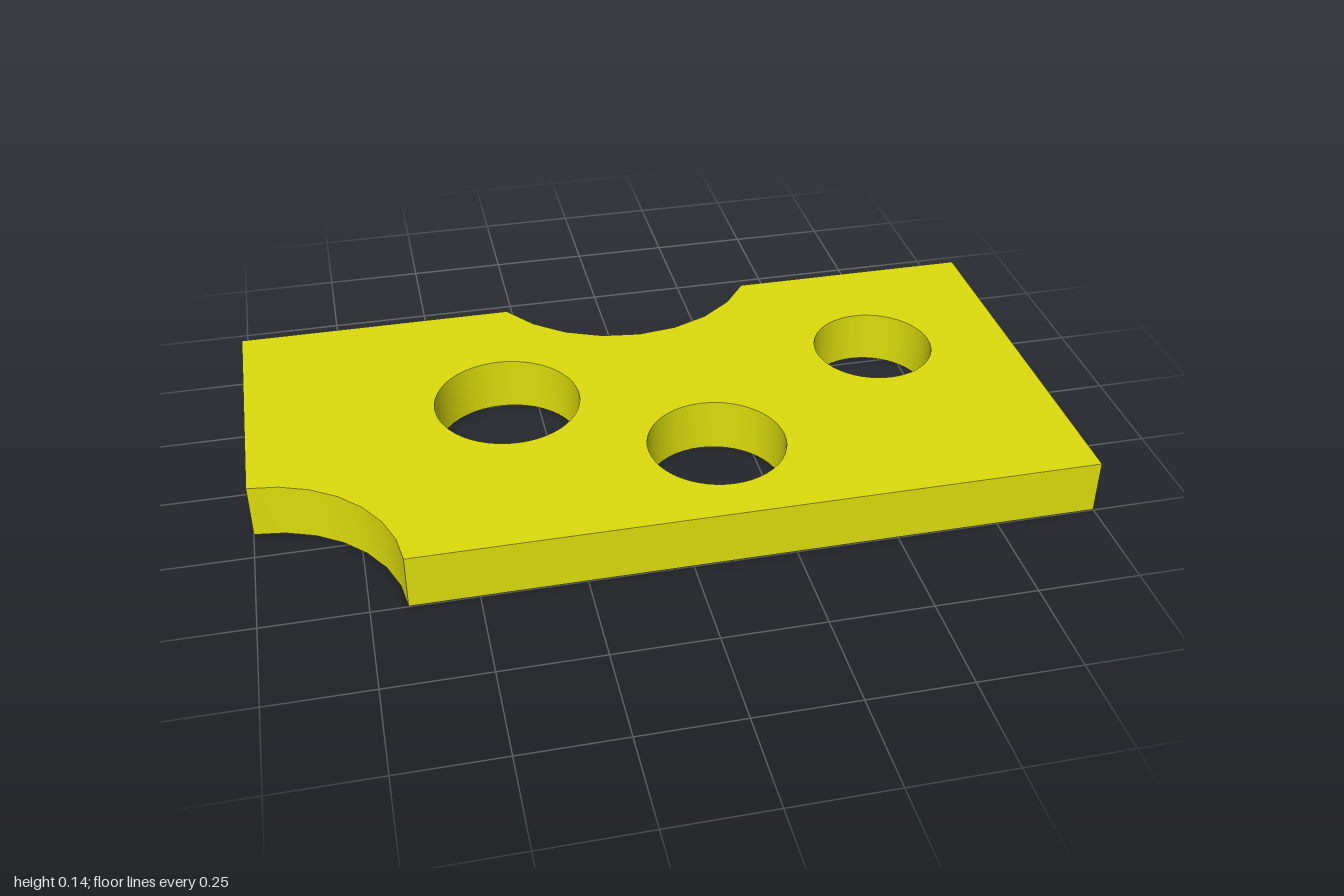
import * as THREE from 'three';
import { toCreasedNormals } from 'three/addons/utils/BufferGeometryUtils.js';

const HALF_X = 1, HALF_Z = 0.498, THICKNESS = 0.138;

// Points along an arc in the plan (x, z)
function arc(cx, cz, r, from, to, segments) {
  return Array.from({ length: segments + 1 }, (_, i) => {
    const a = from + (to - from) * i / segments;
    return new THREE.Vector2(cx + r * Math.cos(a), cz + r * Math.sin(a));
  });
}

export function createModel() {
  const group = new THREE.Group();
  group.name = 'perforatedSlab';

  // Bite in the back edge: its arc ends on z = -HALF_Z
  const back = { x: 0.042, z: -0.691, r: 0.384 };
  const a = Math.asin((-HALF_Z - back.z) / back.r);
  // Bite in the front right corner: its arc ends on the two edges
  const corner = { x: -1.008, z: 0.508, r: 0.345 };
  const b0 = Math.asin((HALF_Z - corner.z) / corner.r);
  const b1 = -Math.acos((-HALF_X - corner.x) / corner.r);

  // Outline in plan, from the back right corner
  const shape = new THREE.Shape([
    new THREE.Vector2(-HALF_X, -HALF_Z),
    ...arc(back.x, back.z, back.r, Math.PI - a, a, 8),
    new THREE.Vector2(HALF_X, -HALF_Z),
    new THREE.Vector2(HALF_X, HALF_Z),
    ...arc(corner.x, corner.z, corner.r, b0, b1, 7),
  ]);

  // Round through holes: x, z, radius
  for (const [x, z, r] of [[-0.35, -0.067, 0.183], [0.123, 0.216, 0.17], [0.633, -0.12, 0.154]]) {
    shape.holes.push(new THREE.Path(arc(x, z, r, 0, Math.PI * 2, 48).slice(0, -1)));
  }

  // Lay the extrusion flat, standing on y = 0
  const geometry = new THREE.ExtrudeGeometry(shape, { depth: THICKNESS, bevelEnabled: false });
  geometry.rotateX(Math.PI / 2).translate(0, THICKNESS, 0);

  const slab = new THREE.Mesh(
    toCreasedNormals(geometry, Math.PI / 6),
    new THREE.MeshStandardMaterial({ color: 0xdddd0d })
  );
  slab.name = 'slab';
  group.add(slab);
  return group;
}
